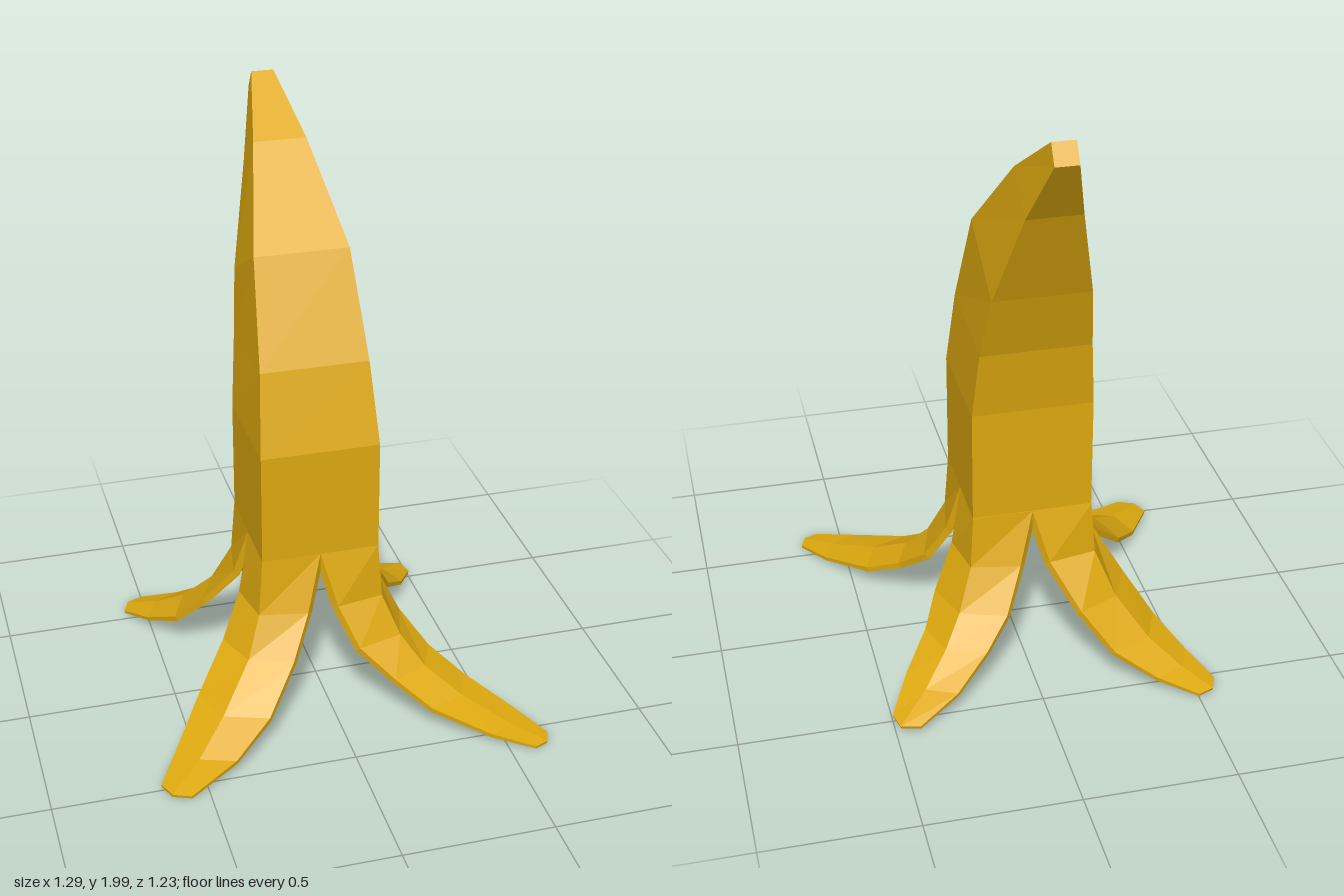
import * as THREE from 'three';

const CX = -0.022, CZ = -0.055; // centre of the square body

// Skin a list of equal-length point loops and cap both ends (faceted).
function loft(loops, material, name) {
  const pos = [];
  const quad = (a, b, c, d) => pos.push(...a, ...b, ...c, ...a, ...c, ...d);
  const n = loops[0].length;
  for (let i = 0; i < loops.length - 1; i++) {
    for (let j = 0; j < n; j++) {
      const k = (j + 1) % n;
      quad(loops[i][j], loops[i][k], loops[i + 1][k], loops[i + 1][j]);
    }
  }
  const first = loops[0], last = loops[loops.length - 1];
  for (let i = 0; i < n / 2 - 1; i++) {
    quad(last[i], last[i + 1], last[n - 2 - i], last[n - 1 - i]);
    quad(first[n - 1 - i], first[n - 2 - i], first[i + 1], first[i]);
  }
  const g = new THREE.BufferGeometry();
  g.setAttribute('position', new THREE.Float32BufferAttribute(pos, 3));
  g.computeVertexNormals();
  const mesh = new THREE.Mesh(g, material);
  mesh.name = name;
  return mesh;
}

// Peel strip: an angled shell that follows one body corner and curls outwards.
// Each station is [far edge, near edge, ridge, height], measured from the body centre.
function peelLoops(stations, sx, sz) {
  return stations.map(([far, near, ridge, y], i) => {
    const p = stations[Math.max(i - 1, 0)];
    const q = stations[Math.min(i + 1, stations.length - 1)];
    // inward normal of the ridge path sets the shell thickness
    const dr = i === 0 ? 0 : (q[2] - p[2]) * Math.SQRT2, dy = q[3] - p[3];
    const len = Math.hypot(dr, dy);
    const t = 0.03 - 0.02 * i / (stations.length - 1);
    const h = (dy / len) * t / Math.SQRT2, v = (-dr / len) * t;
    const pt = (x, z, k) => [
      CX + sx * (x + k * h), Math.max(y + k * v, 0.002), CZ + sz * (z + k * h)];
    const loop = [
      pt(far, near, 0), pt(ridge, ridge, 0), pt(near, far, 0),
      pt(near, far, 1), pt(ridge, ridge, 1), pt(far, near, 1)];
    return sx * sz < 0 ? loop.reverse() : loop;
  });
}

export function createModel() {
  const group = new THREE.Group();
  group.name = 'peeledFruit';
  const yellow = new THREE.MeshStandardMaterial({ color: 0xdea90f, flatShading: true });
  yellow.name = 'golden yellow';

  // Body sections: half width, front z, front y, back z, back y
  const sections = [
    [0.198, 0.145, 0.58, -0.25, 0.58],
    [0.198, 0.145, 0.96, -0.25, 0.96],
    [0.18, 0.075, 1.23, -0.285, 1.19],
    [0.157, -0.08, 1.56, -0.355, 1.41],
    [0.088, -0.35, 1.84, -0.487, 1.73],
    [0.037, -0.575, 2.0, -0.615, 1.94],
  ];
  group.add(loft(sections.map(([w, fz, fy, bz, by]) => [
    [CX - w, fy, fz], [CX + w, fy, fz], [CX + w, by, bz], [CX - w, by, bz],
  ]), yellow, 'body'));

  // Four peel strips, each slightly different in length and curl
  const root = [0.198, 0, 0.198, 0.58];
  const peels = [
    ['frontRightPeel', -1, 1, [root, [0.245, 0.055, 0.215, 0.385], [0.32, 0.125, 0.265, 0.25],
      [0.43, 0.235, 0.38, 0.125], [0.525, 0.37, 0.485, 0.05], [0.622, 0.54, 0.598, 0.018]]],
    ['frontLeftPeel', 1, 1, [root, [0.24, 0.05, 0.21, 0.39], [0.305, 0.108, 0.262, 0.255],
      [0.38, 0.21, 0.33, 0.16], [0.475, 0.31, 0.43, 0.09], [0.6, 0.48, 0.56, 0.04],
      [0.67, 0.607, 0.652, 0.018]]],
    ['backRightPeel', -1, -1, [root, [0.24, 0.05, 0.21, 0.4], [0.333, 0.135, 0.27, 0.25],
      [0.415, 0.23, 0.36, 0.13], [0.49, 0.355, 0.45, 0.06], [0.555, 0.48, 0.533, 0.02]]],
    ['backLeftPeel', 1, -1, [root, [0.24, 0.05, 0.21, 0.4], [0.312, 0.112, 0.26, 0.26],
      [0.362, 0.19, 0.32, 0.165], [0.45, 0.307, 0.405, 0.085], [0.522, 0.445, 0.507, 0.033]]],
  ];
  for (const [name, sx, sz, stations] of peels) {
    group.add(loft(peelLoops(stations, sx, sz), yellow, name));
  }
  return group;
}
